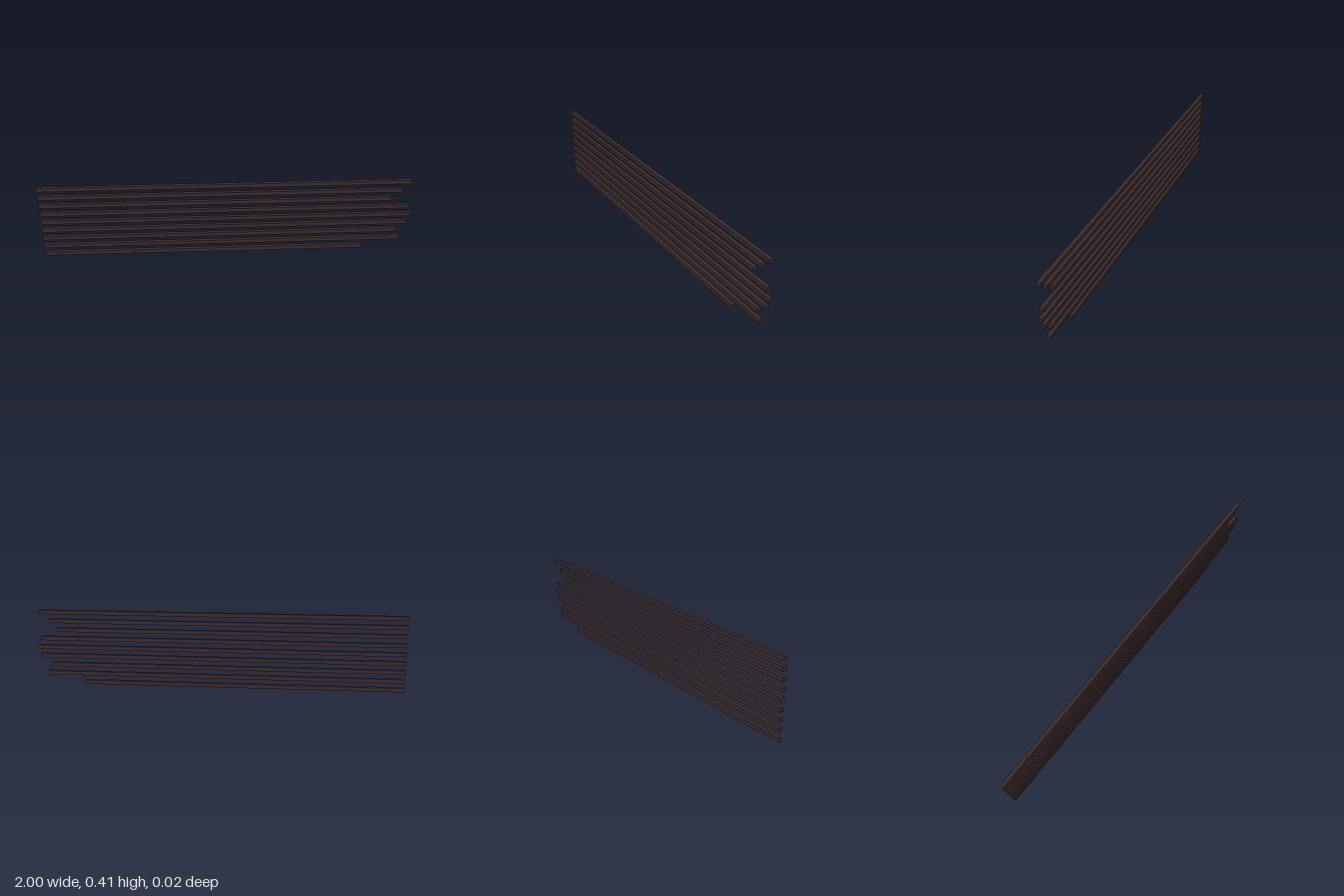
import * as THREE from 'three';

// Stack of parallel square bars, flush at one end and uneven at the other
export function createModel() {
  const group = new THREE.Group();
  group.name = 'barStack';
  const material = new THREE.MeshStandardMaterial({ color: 0x3a2a2c });

  const size = 0.0216; // square section
  const pitch = 0.0489; // spacing between bar centres
  const start = -1;
  // free ends of the bars, bottom to top
  const ends = [0.748, 0.951, 0.932, 0.983, 1, 0.983, 0.887, 0.938, 0.983];

  ends.forEach((end, i) => {
    const bar = new THREE.Mesh(new THREE.BoxGeometry(end - start, size, size), material);
    bar.name = `bar${i + 1}`;
    bar.position.set((start + end) / 2, size / 2 + i * pitch, 0);
    group.add(bar);
  });
  return group;
}
